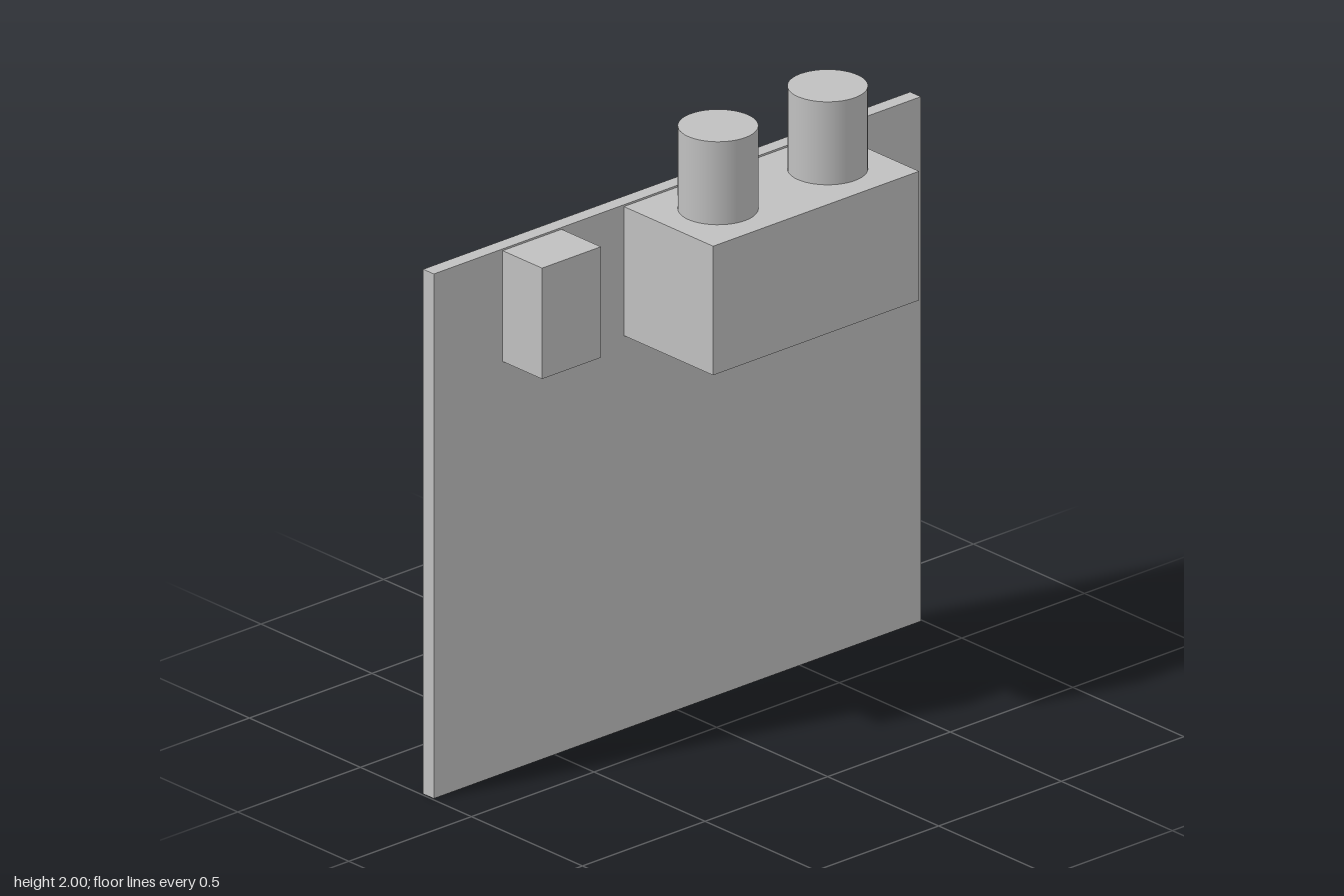
import * as THREE from 'three';

const grey = new THREE.MeshStandardMaterial({ color: 0xc0c0c0 });
grey.name = 'plain grey';

// Box given by its extents on each axis
function box(name, [x0, x1], [y0, y1], [z0, z1]) {
  const mesh = new THREE.Mesh(new THREE.BoxGeometry(x1 - x0, y1 - y0, z1 - z0), grey);
  mesh.position.set((x0 + x1) / 2, (y0 + y1) / 2, (z0 + z1) / 2);
  mesh.name = name;
  return mesh;
}

export function createModel() {
  const model = new THREE.Group();
  model.name = 'panelWithConnectors';

  const backZ = -0.225, panelZ = -0.177, blockTop = 1.726;

  // Thin upright panel
  model.add(box('panel', [-0.993, 0.993], [0, 1.732], [backZ, panelZ]));

  // Small and large blocks on the front, just below the top edge
  model.add(box('smallBlock', [-0.712, -0.472], [1.36, blockTop], [panelZ, 0]));
  model.add(box('largeBlock', [-0.218, 0.622], [1.3, blockTop], [panelZ, 0.225]));

  // Two round posts standing on the large block
  const height = 2 - blockTop;
  const postGeometry = new THREE.CylinderGeometry(0.122, 0.122, height, 48);
  [['rightPost', -0.017], ['leftPost', 0.43]].forEach(([name, x]) => {
    const post = new THREE.Mesh(postGeometry, grey);
    post.position.set(x, blockTop + height / 2, 0.025);
    post.name = name;
    model.add(post);
  });

  return model;
}
